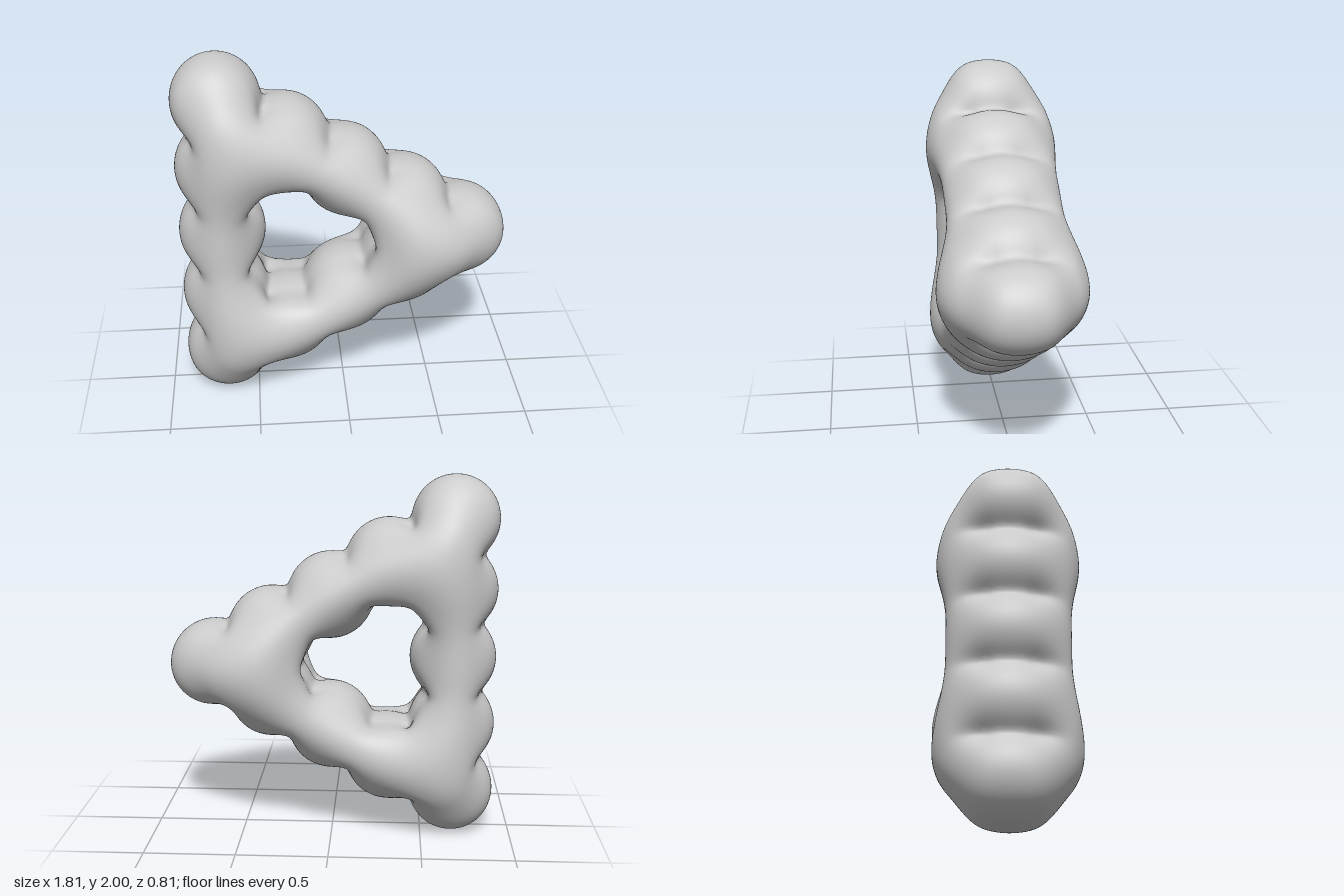
import * as THREE from 'three';

// Centres of the lobes strung along the three sides of the triangle
const lobes = [
  [-0.668, 1.762], [-0.668, 1.38], [-0.668, 1.0], [-0.668, 0.62], [-0.668, 0.238],
  [-0.31, 1.53], [0.01, 1.34], [0.34, 1.145],
  [-0.31, 0.42], [0.01, 0.6], [0.34, 0.78],
  [0.667, 0.955],
];
const R2 = 0.238 ** 2;   // lobe radius squared
const HALF_DEPTH = 0.315;

// Solid is where field > 0: ellipsoid lobes that melt into smooth front and back faces
function field(x, y, z) {
  let sharp = 0, soft = 0;
  for (const [cx, cy] of lobes) {
    const d2 = (x - cx) ** 2 + (y - cy) ** 2;
    sharp += Math.exp(5 * (1 - d2 / R2));
    soft += Math.exp(-d2 / 0.085);
  }
  const outline = Math.log(sharp) / 5;
  const face = (soft - 0.7) / 0.665;
  const w = THREE.MathUtils.smoothstep(Math.abs(z), 0.1, 0.33);
  return outline * (1 - w) + face * w - (z / HALF_DEPTH) ** 2;
}

function gradient(p) {
  const e = 0.002;
  return new THREE.Vector3(
    field(p.x + e, p.y, p.z) - field(p.x - e, p.y, p.z),
    field(p.x, p.y + e, p.z) - field(p.x, p.y - e, p.z),
    field(p.x, p.y, p.z + e) - field(p.x, p.y, p.z - e),
  ).divideScalar(2 * e);
}

// Skin the field: one vertex per surface cell, one quad per crossed grid edge
function skin(min, max, step) {
  const n = [0, 1, 2].map((a) => Math.ceil((max[a] - min[a]) / step) + 1);
  const stride = [1, n[0], n[0] * n[1]];
  const values = new Float32Array(n[0] * n[1] * n[2]);
  const cells = new Int32Array(values.length).fill(-1);
  const at = (a, i) => min[a] + i * step;
  const each = (fn) => {
    for (let k = 0; k < n[2]; k++)
      for (let j = 0; j < n[1]; j++)
        for (let i = 0; i < n[0]; i++) fn([i, j, k], i + j * stride[1] + k * stride[2]);
  };
  each((c, id) => { values[id] = field(at(0, c[0]), at(1, c[1]), at(2, c[2])); });

  const positions = [], normals = [], index = [];
  each((c, id) => {
    if (c.some((v, a) => v >= n[a] - 1)) return;
    const p = new THREE.Vector3();
    let crossings = 0;
    for (let corner = 0; corner < 8; corner++) {
      const o = [corner & 1, (corner >> 1) & 1, corner >> 2];
      const from = id + o[0] * stride[0] + o[1] * stride[1] + o[2] * stride[2];
      for (let a = 0; a < 3; a++) {
        if (o[a]) continue;
        const v0 = values[from], v1 = values[from + stride[a]];
        if ((v0 > 0) === (v1 > 0)) continue;
        const q = [...o];
        q[a] = v0 / (v0 - v1);
        p.add(new THREE.Vector3(...q));
        crossings++;
      }
    }
    if (!crossings) return;
    p.divideScalar(crossings).multiplyScalar(step);
    p.add(new THREE.Vector3(at(0, c[0]), at(1, c[1]), at(2, c[2])));
    // Pull the vertex onto the exact surface
    for (let s = 0; s < 3; s++) {
      const g = gradient(p);
      const move = -field(p.x, p.y, p.z) / Math.max(g.lengthSq(), 0.5);
      p.add(g.multiplyScalar(move).clampLength(0, step * 0.4));
    }
    const normal = gradient(p).normalize().negate();
    cells[id] = positions.length / 3;
    positions.push(p.x, p.y, p.z);
    normals.push(normal.x, normal.y, normal.z);
  });

  each((c, id) => {
    for (let a = 0; a < 3; a++) {
      const b = (a + 1) % 3, d = (a + 2) % 3;
      if (c[a] >= n[a] - 1 || c[b] < 1 || c[d] < 1) continue;
      const inside = values[id] > 0;
      if (inside === values[id + stride[a]] > 0) continue;
      const q = [id - stride[b] - stride[d], id - stride[d], id, id - stride[b]].map((v) => cells[v]);
      if (!inside) q.reverse();
      index.push(q[0], q[1], q[2], q[0], q[2], q[3]);
    }
  });

  const geometry = new THREE.BufferGeometry();
  geometry.setAttribute('position', new THREE.Float32BufferAttribute(positions, 3));
  geometry.setAttribute('normal', new THREE.Float32BufferAttribute(normals, 3));
  geometry.setIndex(index);
  return geometry;
}

export function createModel() {
  const group = new THREE.Group();
  group.name = 'lobedTriangle';
  const ring = new THREE.Mesh(
    skin([-1.01, -0.11, -0.45], [1.01, 2.11, 0.45], 0.02),
    new THREE.MeshStandardMaterial({ color: 0xcccccc }),
  );
  ring.name = 'triangularRing';
  group.add(ring);
  return group;
}
